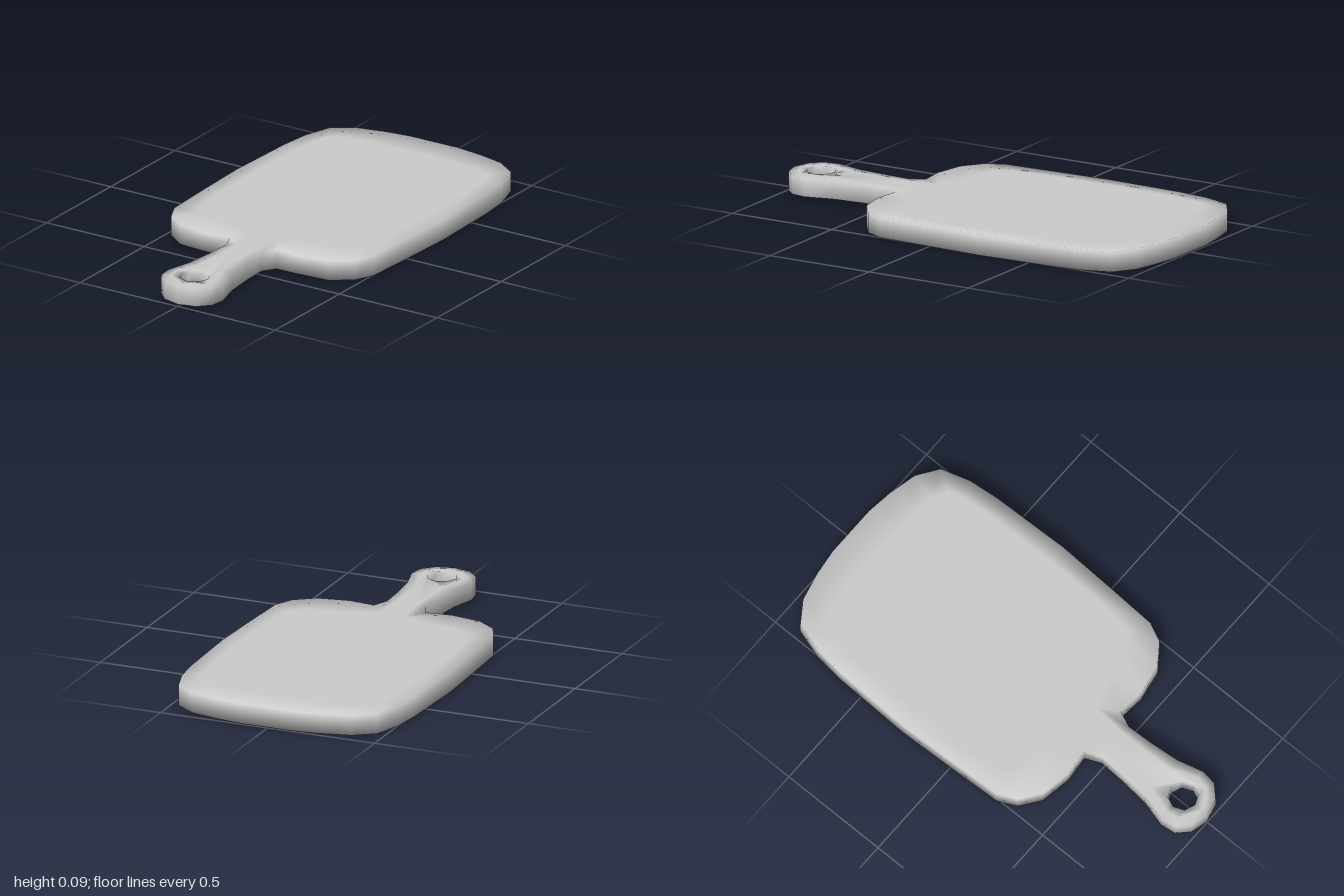
import * as THREE from 'three';

const TOP = 0.095;
const HOLE = { z: 0.865, r: 0.066, sides: 8 };

// Right half of the outline, back to front: rim x, z, then the edge of the flat face x, z
const HALF = [
  [0, -1, 0, -0.85], [0.12, -1, 0.12, -0.85], [0.24, -0.985, 0.24, -0.845],
  [0.37, -0.955, 0.34, -0.835], [0.465, -0.89, 0.41, -0.8], [0.505, -0.76, 0.43, -0.72],
  [0.52, -0.62, 0.44, -0.6], [0.532, -0.26, 0.45, -0.26], [0.522, 0, 0.445, 0],
  [0.51, 0.25, 0.425, 0.18], [0.47, 0.335, 0.39, 0.225], [0.38, 0.4, 0.32, 0.255],
  [0.24, 0.425, 0.21, 0.27], [0.12, 0.412, 0.065, 0.32], [0.09, 0.485, 0.05, 0.47],
  [0.095, 0.6, 0.052, 0.6], [0.108, 0.74, 0.06, 0.74], [0.14, 0.86, 0.102, 0.86],
  [0.13, 0.93, 0.093, 0.912], [0.08, 0.98, 0.056, 0.95], [0, 1, 0, 0.966],
];

// Handle underside sits a touch higher than the board underside
const bottomAt = (z) => (z > 0.42 ? 0.007 : 0);

function createBoardGeometry() {
  const mirrored = HALF.slice(1, -1).reverse().map(([x, z, u, w]) => [-x, z, -u, w]);
  const loop = [...HALF, ...mirrored];
  const rim = loop.map(([x, z]) => new THREE.Vector2(x, z));
  const face = loop.map(([, , x, z]) => new THREE.Vector2(x, z));
  const hole = Array.from({ length: HOLE.sides }, (_, i) => {
    const a = Math.PI / 2 - (i / HOLE.sides) * Math.PI * 2;
    return new THREE.Vector2(Math.cos(a) * HOLE.r, HOLE.z + Math.sin(a) * HOLE.r);
  });

  const positions = [];
  const index = [];
  const addRing = (points, height) => {
    const start = positions.length / 3;
    points.forEach((p) => positions.push(p.x, height(p.y), p.y));
    return start;
  };
  const bridge = (lower, upper, n) => {
    for (let i = 0; i < n; i++) {
      const j = (i + 1) % n;
      index.push(lower + i, upper + i, lower + j, lower + j, upper + i, upper + j);
    }
  };

  // Outer side: underside border, wall, top border
  const rings = [
    addRing(face, bottomAt),
    addRing(rim, (z) => bottomAt(z) + 0.003),
    addRing(rim, () => TOP - 0.002),
    addRing(face, () => TOP),
  ];
  for (let k = 0; k < 3; k++) bridge(rings[k], rings[k + 1], loop.length);

  // Hanging hole wall
  const holeLow = addRing(hole, bottomAt);
  const holeHigh = addRing(hole, () => TOP);
  bridge(holeLow, holeHigh, hole.length);

  // Flat faces, pierced by the hole
  const n = face.length;
  const at = (i, outer, inner) => (i < n ? outer + i : inner + i - n);
  for (const [a, b, c] of THREE.ShapeUtils.triangulateShape(face, [hole])) {
    index.push(...[a, b, c].map((i) => at(i, rings[0], holeLow)));
    index.push(...[c, b, a].map((i) => at(i, rings[3], holeHigh)));
  }

  const geometry = new THREE.BufferGeometry();
  geometry.setAttribute('position', new THREE.Float32BufferAttribute(positions, 3));
  geometry.setIndex(index);
  geometry.computeVertexNormals();
  return geometry;
}

export function createModel() {
  const group = new THREE.Group();
  group.name = 'cuttingBoard';
  const material = new THREE.MeshStandardMaterial({ color: 0xcccccc });
  const board = new THREE.Mesh(createBoardGeometry(), material);
  board.name = 'boardWithHandle';
  group.add(board);
  return group;
}
